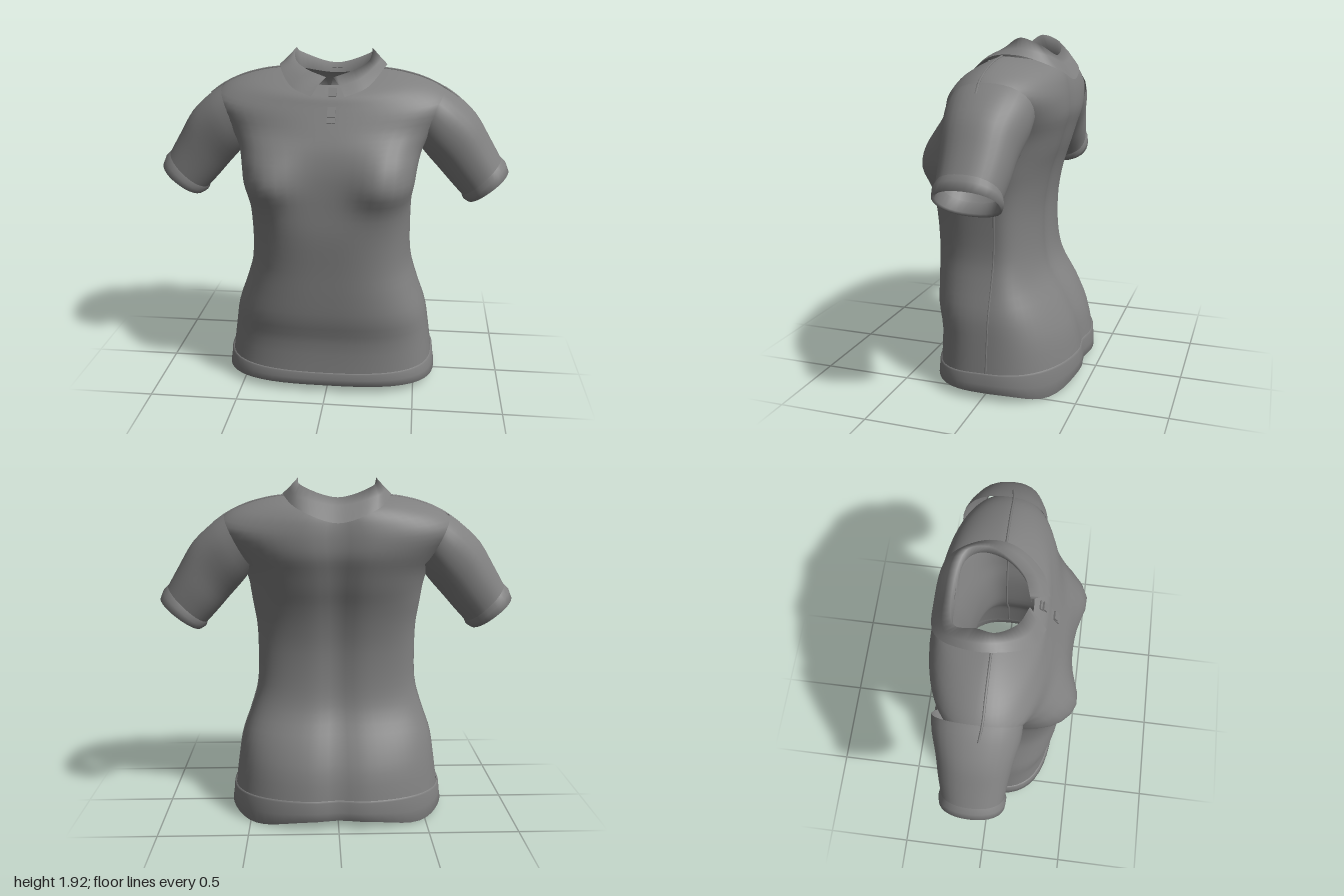
import * as THREE from 'three';

const fabric = new THREE.MeshStandardMaterial({ color: 0x808080, side: THREE.DoubleSide });
fabric.name = 'grey fabric';

const V = (x, y, z) => new THREE.Vector3(x, y, z);

// Skin a list of point rings; skip(i, j) leaves a quad open
function loft(rings, closed, skip = () => false) {
  const n = rings[0].length, pos = [], index = [];
  rings.forEach(r => r.forEach(p => pos.push(p.x, p.y, p.z)));
  for (let i = 0; i < rings.length - 1; i++) {
    for (let j = 0; j < (closed ? n : n - 1); j++) {
      if (skip(i, j)) continue;
      const k = (j + 1) % n;
      const a = i * n + j, b = i * n + k, c = a + n, d = b + n;
      index.push(a, c, b, b, c, d);
    }
  }
  const g = new THREE.BufferGeometry();
  g.setAttribute('position', new THREE.Float32BufferAttribute(pos, 3));
  g.setIndex(index);
  g.computeVertexNormals();
  return g;
}

// Smoothly subdivide a table of rows
function refine(rows, steps) {
  const out = [];
  const at = i => rows[Math.max(0, Math.min(rows.length - 1, i))];
  for (let i = 0; i < rows.length - 1; i++) {
    for (let s = 0; s < steps; s++) {
      const t = s / steps;
      out.push(rows[i].map((b, k) => {
        const a = at(i - 1)[k], c = at(i + 1)[k], d = at(i + 2)[k];
        return b + 0.5 * t * (c - a + t * (2 * a - 5 * b + 4 * c - d + t * (3 * (b - c) + d - a)));
      }));
    }
  }
  out.push(rows[rows.length - 1]);
  return out;
}

// Radius of a rounded square in the direction (c, s)
const squircle = (c, s, n) => Math.pow(Math.abs(c) ** n + Math.abs(s) ** n, -1 / n);

const SEG = 64, MID_Z = -0.02;

// Torso section: side, front and back heights, half width, front z, back z, squareness, bust
function section([ys, yf, yb, rx, zf, zb, nf, bust, dip = 0]) {
  const ring = [];
  for (let j = 0; j < SEG; j++) {
    const a = j / SEG * Math.PI * 2, c = Math.cos(a), s = Math.sin(a);
    const r = squircle(c, s, s > 0 ? nf : 2.4);
    const x = rx * r * c;
    let z = MID_Z + (s > 0 ? zf - MID_Z : MID_Z - zb) * r * s;
    if (s > 0) z += bust * Math.exp(-(((Math.abs(x) - 0.31) / 0.14) ** 2)) * Math.min(1, s * 1.6);
    else z += 0.025 * Math.exp(-((x / 0.09) ** 2)) * -s;
    let y = ys + ((s > 0 ? yf : yb) - ys) * Math.pow(Math.abs(s), 1.5);
    if (s < 0) y -= dip * Math.sin(2 * a) ** 4;
    ring.push(V(x, y, z));
  }
  return ring;
}

const bodyRows = [
  [0.13, 0.11, 0.14, 0.60, 0.36, -0.44, 3, 0],
  [0.30, 0.30, 0.30, 0.577, 0.355, -0.405, 3, 0],
  [0.45, 0.45, 0.45, 0.552, 0.385, -0.335, 3, 0],
  [0.60, 0.60, 0.60, 0.50, 0.395, -0.245, 3, 0],
  [0.75, 0.75, 0.75, 0.458, 0.40, -0.21, 3, 0],
  [0.95, 0.95, 0.95, 0.45, 0.41, -0.205, 3.2, 0],
  [1.10, 1.10, 1.10, 0.455, 0.405, -0.225, 3.8, 0.02],
  [1.22, 1.22, 1.22, 0.475, 0.40, -0.255, 5, 0.06],
  [1.32, 1.32, 1.32, 0.49, 0.39, -0.29, 4.5, 0.05],
  [1.42, 1.42, 1.42, 0.52, 0.365, -0.32, 3.4, 0.022],
  [1.53, 1.51, 1.51, 0.59, 0.325, -0.345, 2.7, 0],
  [1.65, 1.60, 1.60, 0.672, 0.28, -0.345, 2.5, 0],
  [1.727, 1.65, 1.67, 0.61, 0.255, -0.335, 2.4, 0],
  [1.778, 1.69, 1.72, 0.50, 0.235, -0.32, 2.3, 0],
  [1.81, 1.72, 1.76, 0.38, 0.205, -0.295, 2.1, 0],
  [1.825, 1.75, 1.79, 0.27, 0.165, -0.25, 2, 0],
];

const hemRows = [
  [0.15, 0.12, 0.16, 0.60, 0.36, -0.436, 3, 0],
  [0.145, 0.115, 0.15, 0.61, 0.368, -0.445, 3, 0],
  [0.09, 0.08, 0.09, 0.615, 0.37, -0.449, 3, 0, 0.02],
  [0.045, 0.045, 0.045, 0.622, 0.372, -0.45, 3, 0, 0.045],
  [0.05, 0.05, 0.05, 0.605, 0.355, -0.435, 3, 0, 0.04],
  [0.13, 0.11, 0.13, 0.592, 0.348, -0.425, 3, 0],
];

// Sleeve section: upper x, y, lower x, y, front z, back z
function sleeveRing([tx, ty, bx, by, zf, zb], side) {
  const ring = [];
  for (let j = 0; j < 32; j++) {
    const a = j / 32 * Math.PI * 2, r = squircle(Math.cos(a), Math.sin(a), 2.25) / 2;
    const c = r * Math.cos(a), s = -side * r * Math.sin(a);
    ring.push(V(side * ((tx + bx) / 2 + (tx - bx) * c), (ty + by) / 2 + (ty - by) * c,
      (zf + zb) / 2 + (zf - zb) * s));
  }
  return ring;
}
const sleeveRows = [
  [0.625, 1.718, 0.47, 1.43, 0.18, -0.275],
  [0.70, 1.668, 0.525, 1.355, 0.178, -0.268],
  [0.805, 1.57, 0.61, 1.26, 0.155, -0.24],
  [0.885, 1.44, 0.68, 1.18, 0.138, -0.225],
  [0.955, 1.32, 0.745, 1.11, 0.127, -0.207],
];
const cuffRows = [
  [0.953, 1.325, 0.74, 1.115, 0.127, -0.207],
  [0.98, 1.30, 0.75, 1.09, 0.137, -0.218],
  [0.998, 1.255, 0.775, 1.075, 0.134, -0.215],
  [0.975, 1.25, 0.79, 1.095, 0.118, -0.2],
  [0.93, 1.33, 0.75, 1.14, 0.115, -0.195],
];

// Collar line mirrored across the back of the neck
function collarLine(half) {
  const pts = half.map(p => V(...p));
  const mirrored = half.slice(0, -1).reverse().map(([x, y, z]) => V(-x, y, z));
  return new THREE.CatmullRomCurve3([...pts, ...mirrored]).getPoints(60);
}

export function createModel() {
  const shirt = new THREE.Group();
  shirt.name = 'shirt';
  const add = (name, geometry) => {
    const m = new THREE.Mesh(geometry, fabric);
    m.name = name;
    shirt.add(m);
  };
  const seam = (name, pts, r) =>
    add(name, new THREE.TubeGeometry(new THREE.CatmullRomCurve3(pts), 24, r, 5));

  // Torso with open armholes under the sleeve roots
  const steps = 3;
  const armhole = (i, j) => i >= 9 * steps + 1 && i < 11 * steps + 1
    && Math.abs(Math.sin((j + 0.5) / SEG * Math.PI * 2)) < 0.22;
  add('body', loft(refine(bodyRows, steps).map(section), true, armhole));
  add('hem', loft(hemRows.map(section), true));

  for (const side of [1, -1]) {
    const name = side > 0 ? 'left' : 'right';
    add(name + 'Sleeve', loft(refine(sleeveRows, 3).map(r => sleeveRing(r, side)), true));
    add(name + 'Cuff', loft(cuffRows.map(r => sleeveRing(r, side)), true));
    const shoulderLine = bodyRows.slice(12).map(r => V(side * r[3], r[0], MID_Z + 0.01));
    seam(name + 'ShoulderSeam', [V(side * 0.695, 1.668, MID_Z), ...shoulderLine], 0.007);
    seam(name + 'SideSeam',
      bodyRows.slice(0, 9).map(r => V(side * (r[3] - 0.002), r[0], MID_Z)), 0.006);
  }

  // Folded collar: inner stand, fold, leaf, outer edge
  const stand = collarLine([[0.005, 1.735, 0.155], [0.12, 1.75, 0.12], [0.21, 1.80, 0.01],
    [0.235, 1.81, -0.13], [0.185, 1.79, -0.205], [0, 1.765, -0.22]]);
  const fold = collarLine([[0.02, 1.79, 0.145], [0.13, 1.825, 0.10], [0.205, 1.865, 0.0],
    [0.215, 1.92, -0.09], [0.20, 1.885, -0.195], [0, 1.82, -0.24]]);
  const leaf = collarLine([[0.06, 1.75, 0.195], [0.165, 1.785, 0.15], [0.245, 1.845, 0.03],
    [0.265, 1.865, -0.11], [0.215, 1.83, -0.245], [0, 1.78, -0.28]]);
  const edge = collarLine([[0.09, 1.70, 0.24], [0.20, 1.74, 0.188], [0.285, 1.825, 0.04],
    [0.295, 1.83, -0.12], [0.21, 1.76, -0.30], [0, 1.69, -0.34]]);
  add('collar', loft([stand, fold, leaf, edge], false));

  // Flat button placket on the sloping chest
  const placket = new THREE.Group();
  placket.name = 'placket';
  placket.position.set(0.02, 1.655, 0.247);
  placket.rotation.x = -0.55;
  const plate = (name, w, h, d, y, z) => {
    const m = new THREE.Mesh(new THREE.BoxGeometry(w, h, d), fabric);
    m.name = name;
    m.position.set(0.003, y, z);
    placket.add(m);
  };
  plate('placketStrip', 0.045, 0.2, 0.008, 0, 0);
  for (const y of [0.065, -0.05]) plate('button', 0.042, 0.036, 0.014, y, 0.007);
  shirt.add(placket);
  return shirt;
}
